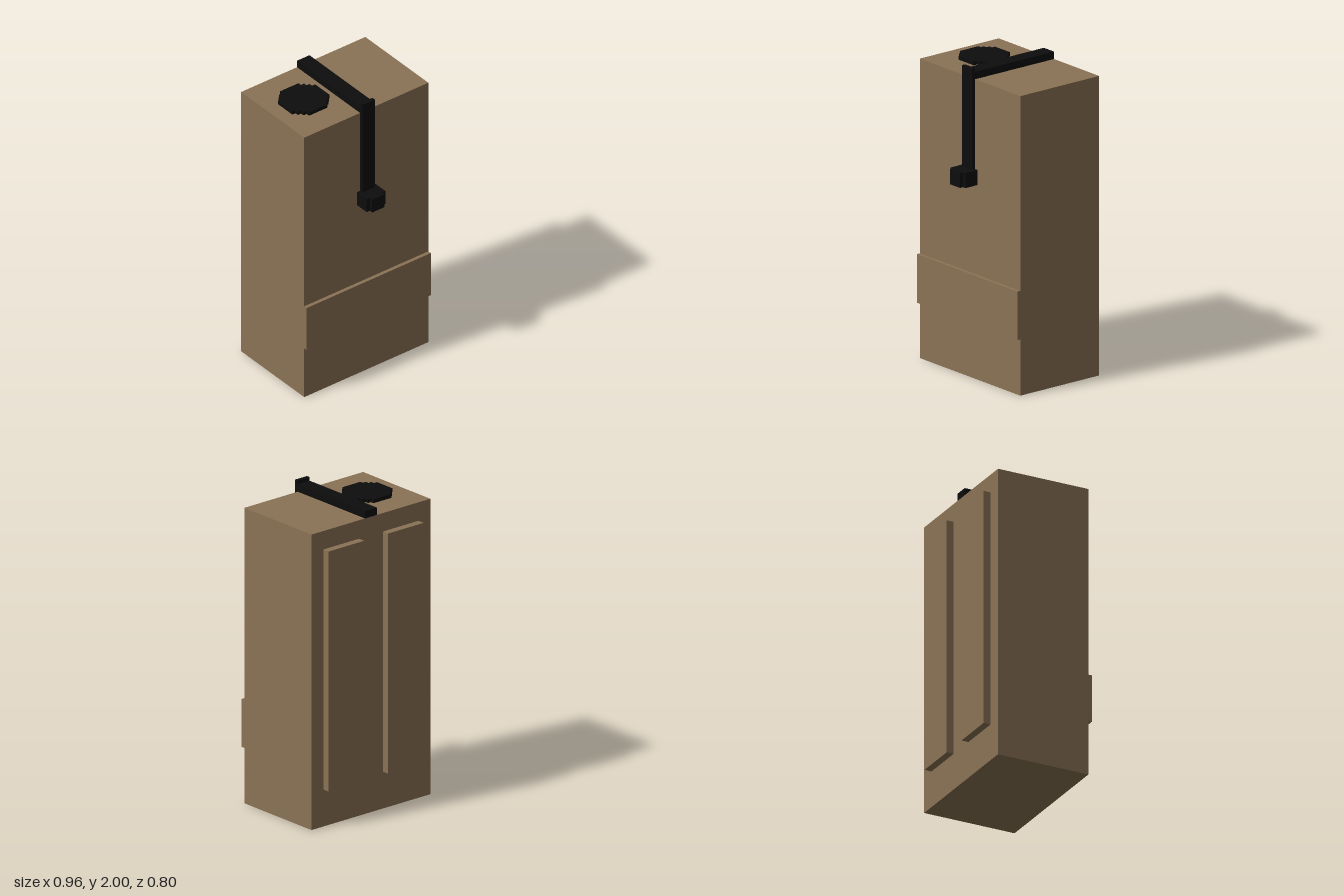
import * as THREE from 'three';

// The model is laid out on a cubic grid: 83 cells make the 2 unit height.
const U = 2 / 83;

export function createModel() {
  const model = new THREE.Group();
  model.name = 'backpackTank';

  const tan = new THREE.MeshStandardMaterial({ color: 0x8b7355 });
  tan.name = 'tan';
  const black = new THREE.MeshStandardMaterial({ color: 0x0d0d0d });
  black.name = 'black';

  function add(name, geometry, material) {
    const mesh = new THREE.Mesh(geometry, material);
    mesh.name = name;
    model.add(mesh);
    return mesh;
  }

  // Box between two grid corners
  function block(name, material, [x0, y0, z0], [x1, y1, z1]) {
    const geometry = new THREE.BoxGeometry((x1 - x0) * U, (y1 - y0) * U, (z1 - z0) * U);
    geometry.translate((x0 + x1) / 2 * U, (y0 + y1) / 2 * U, (z0 + z1) / 2 * U);
    return add(name, geometry, material);
  }

  // Upright disc with a stepped outline, from the half width of each row
  function steppedDisc(name, material, halfWidths, x, z, y0, y1) {
    const n = halfWidths.length;
    const right = [];
    halfWidths.forEach((w, i) => {
      if (w !== halfWidths[i - 1]) right.push([w, i - n / 2]);
      if (w !== halfWidths[i + 1]) right.push([w, i + 1 - n / 2]);
    });
    const left = right.map(([w, v]) => [-w, v]).reverse();
    const outline = [...right, ...left].map(([a, b]) => new THREE.Vector2(a * U, b * U));
    const geometry = new THREE.ExtrudeGeometry(new THREE.Shape(outline), {
      depth: (y1 - y0) * U, bevelEnabled: false,
    });
    geometry.rotateX(-Math.PI / 2);
    geometry.translate(x * U, y0 * U, z * U);
    return add(name, geometry, material);
  }

  // Tank body and the raised band across its front
  block('body', tan, [-20, 0, -14.5], [20, 80, 11.5]);
  block('frontBand', tan, [-20, 15, 11.5], [20, 28, 12.5]);

  // Two long pads on the back
  for (const [name, x] of [['rightBackPad', -10], ['leftBackPad', 10]]) {
    block(name, tan, [x - 6, 10, -16.5], [x + 6, 75, -14.5]);
  }

  // Filler cap on top
  steppedDisc('cap', black, [3, 4, 5, 6, 6, 6, 6, 6, 6, 5, 4, 3], -10, -1.5, 80, 81);

  // Hose over the top, down the front, ending in a nozzle
  block('topHose', black, [-2, 80, -14.5], [2, 82, 11.5]);
  block('frontHose', black, [-2, 56, 11.5], [2, 83, 12.5]);
  steppedDisc('nozzle', black, [2, 3, 3, 3, 3, 2], 0, 13.5, 52, 56);

  return model;
}
